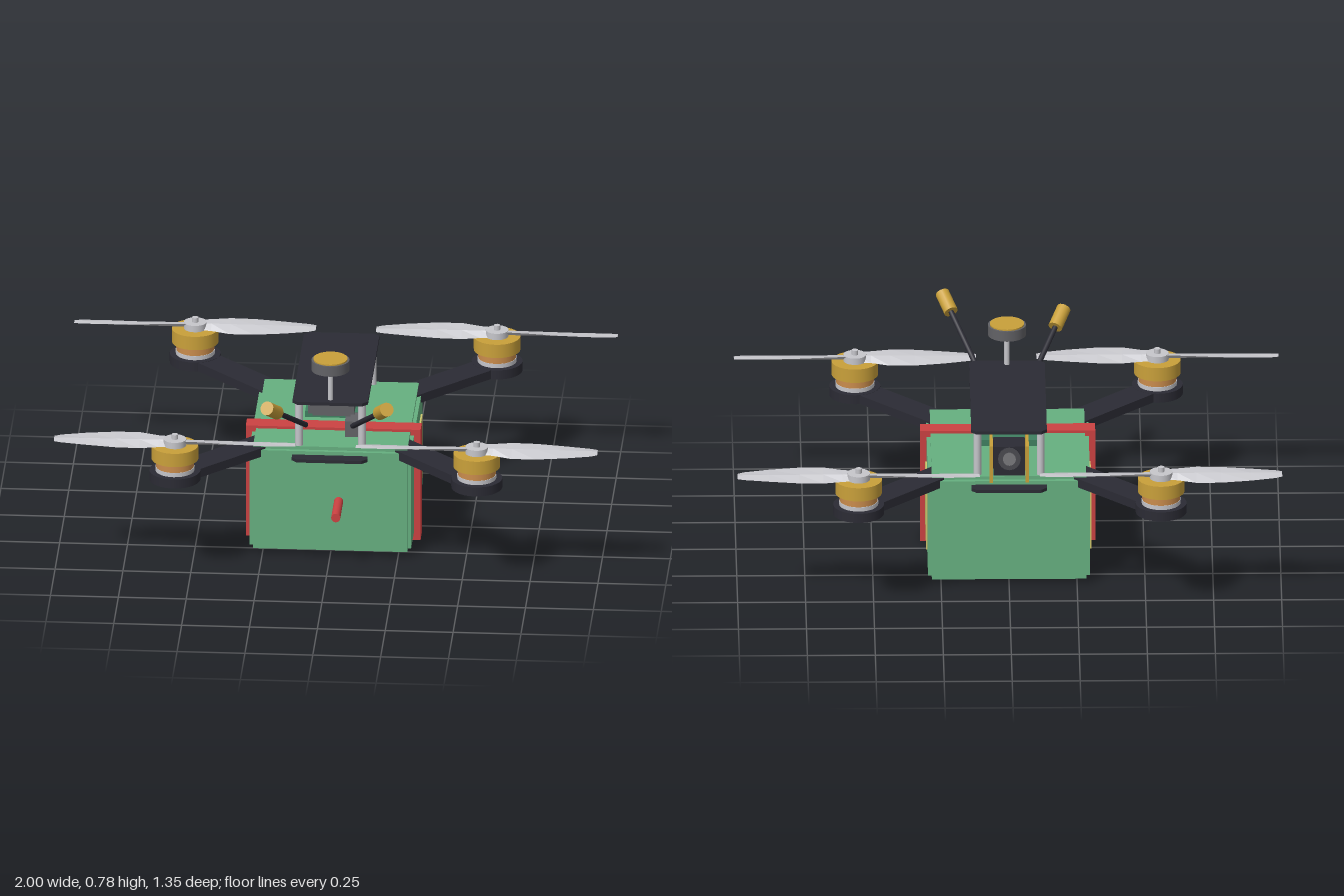
import * as THREE from 'three';

const mat = (name, color) => Object.assign(new THREE.MeshStandardMaterial({ color }), { name });
const green = mat('packGreen', 0x66b080);
const red = mat('strapRed', 0xcc4242);
const gold = mat('gold', 0xc9a03a);
const dark = mat('carbon', 0x2b2b34);
const silver = mat('silver', 0xc6c6cb);
const grey = mat('darkGrey', 0x626266);
const board = mat('boardGreen', 0x3f8060);
const cream = mat('labelYellow', 0xcec66c);
const copper = mat('copper', 0xca8c4c);

const CZ = -0.02; // middle of the frame along z

function add(parent, name, geometry, material, x = 0, y = 0, z = 0) {
  const mesh = new THREE.Mesh(geometry, material);
  mesh.name = name;
  mesh.position.set(x, y, z);
  parent.add(mesh);
  return mesh;
}

// Box given by its limits on each axis
function box(parent, name, material, x0, x1, y0, y1, z0, z1) {
  return add(parent, name, new THREE.BoxGeometry(x1 - x0, y1 - y0, z1 - z0), material,
    (x0 + x1) / 2, (y0 + y1) / 2, (z0 + z1) / 2);
}

// Upright cylinder from y0 to y1
function post(parent, name, material, r, x, y0, y1, z, sides = 24) {
  return add(parent, name, new THREE.CylinderGeometry(r, r, y1 - y0, sides), material, x, (y0 + y1) / 2, z);
}

// Cylinder between two points
function rod(parent, name, material, r, a, b) {
  const dir = b.clone().sub(a);
  const mesh = add(parent, name, new THREE.CylinderGeometry(r, r, dir.length(), 16), material);
  mesh.position.copy(a).add(b).multiplyScalar(0.5);
  mesh.quaternion.setFromUnitVectors(new THREE.Vector3(0, 1, 0), dir.normalize());
  return mesh;
}

// Flat plate with clipped corners
function plate(parent, name, hw, z0, z1, y0, y1) {
  const c = 0.02;
  const s = new THREE.Shape([
    [-hw + c, z0], [hw - c, z0], [hw, z0 + c], [hw, z1 - c],
    [hw - c, z1], [-hw + c, z1], [-hw, z1 - c], [-hw, z0 + c],
  ].map(([x, z]) => new THREE.Vector2(x, -z)));
  const g = new THREE.ExtrudeGeometry(s, { depth: y1 - y0, bevelEnabled: false });
  g.rotateX(-Math.PI / 2);
  add(parent, name, g, dark, 0, y0, 0);
}

// Twisted blade lofted along +x from diamond sections
function bladeGeometry(spin) {
  // radius, front edge, rear edge, twist
  const sections = [
    [0.0, 0.025, 0.025, 0.42], [0.06, 0.03, 0.03, 0.42], [0.13, 0.046, 0.04, 0.36],
    [0.22, 0.05, 0.042, 0.28], [0.33, 0.043, 0.035, 0.2], [0.42, 0.03, 0.026, 0.14], [0.445, 0.02, 0.02, 0.12],
  ];
  const pos = [], idx = [];
  sections.forEach(([r, f, b, t], k) => {
    const h = 0.009 - 0.0007 * k, a = t * spin;
    for (const [y, z] of [[h, 0], [0, f], [-h, 0], [0, -b]]) {
      pos.push(r, y * Math.cos(a) - z * Math.sin(a), y * Math.sin(a) + z * Math.cos(a));
    }
    if (k === 0) return;
    for (let i = 0; i < 4; i++) {
      const j = (i + 1) % 4, p = (k - 1) * 4, q = k * 4;
      idx.push(p + i, p + j, q + j, p + i, q + j, q + i);
    }
  });
  const e = (sections.length - 1) * 4;
  idx.push(e, e + 1, e + 2, e, e + 2, e + 3);
  const g = new THREE.BufferGeometry();
  g.setAttribute('position', new THREE.Float32BufferAttribute(pos, 3));
  g.setIndex(idx);
  const flat = g.toNonIndexed();
  flat.computeVertexNormals();
  return flat;
}

// Arm, motor and propeller for one corner
function rotor(parent, sx, sz) {
  const g = new THREE.Group();
  g.name = 'rotorArm';
  parent.add(g);
  const x = 0.556 * sx, z = CZ + 0.556 * sz;
  const arm = add(g, 'arm', new THREE.BoxGeometry(0.66, 0.034, 0.108), dark,
    x - 0.233 * sx, 0.408, z - 0.233 * sz);
  arm.rotation.y = -sx * sz * Math.PI / 4;
  post(g, 'motorPad', dark, 0.094, x, 0.39, 0.426, z, 28);
  post(g, 'motorBase', silver, 0.072, x, 0.426, 0.442, z);
  post(g, 'motorStator', copper, 0.07, x, 0.442, 0.472, z);
  post(g, 'motorBell', gold, 0.086, x, 0.472, 0.525, z, 32);
  post(g, 'propellerHub', silver, 0.042, x, 0.525, 0.55, z);
  post(g, 'motorShaft', silver, 0.012, x, 0.54, 0.568, z, 12);
  const geo = bladeGeometry(sx * sz);
  for (const turn of [0, Math.PI]) {
    add(g, 'propellerBlade', geo, silver, x, 0.538, z).rotation.y = turn;
  }
}

export function createModel() {
  const model = new THREE.Group();
  model.name = 'quadcopter';

  // Battery pack with stepped edges, strap, labels and lead
  const pack = new THREE.Group();
  pack.name = 'batteryPack';
  model.add(pack);
  box(pack, 'packSides', green, -0.298, 0.298, 0.035, 0.418, -0.335, 0.295);
  box(pack, 'packEnds', green, -0.284, 0.284, 0.035, 0.418, -0.35, 0.31);
  box(pack, 'packCore', green, -0.284, 0.284, 0.02, 0.431, -0.335, 0.295);
  box(pack, 'strap', red, -0.322, 0.322, 0.002, 0.441, 0.068, 0.135);
  for (const s of [-1, 1]) {
    add(pack, 'label', new THREE.BoxGeometry(0.008, 0.25, 0.235), cream, 0.3 * s, 0.223, -0.118);
  }
  rod(pack, 'powerLead', red, 0.017, new THREE.Vector3(0.032, 0.222, 0.3), new THREE.Vector3(0.032, 0.222, 0.47));

  // Frame plates and standoffs
  plate(model, 'bottomPlate', 0.139, -0.4, 0.357, 0.392, 0.404);
  plate(model, 'topPlate', 0.139, -0.35, 0.315, 0.604, 0.616);
  for (const x of [-0.116, 0.116]) {
    for (const z of [0.28, -0.315]) post(model, 'standoff', silver, 0.014, x, 0.4, 0.606, z, 12);
  }

  for (const sx of [-1, 1]) for (const sz of [-1, 1]) rotor(model, sx, sz);

  // Electronics stack
  box(model, 'lowerBoard', board, -0.105, 0.105, 0.47, 0.494, -0.144, 0.108);
  box(model, 'upperBoard', board, -0.095, 0.095, 0.534, 0.556, -0.13, 0.095);
  box(model, 'stackFoot', dark, -0.03, 0.03, 0.425, 0.452, -0.045, 0.008);
  box(model, 'receiver', grey, -0.085, 0.085, 0.542, 0.576, 0.025, 0.245);
  box(model, 'receiverBase', grey, -0.07, 0.07, 0.528, 0.545, 0.04, 0.23);
  box(model, 'receiverLid', grey, -0.065, 0.065, 0.576, 0.59, 0.04, 0.23);
  box(model, 'receiverCap', dark, -0.05, 0.05, 0.59, 0.598, 0.075, 0.205);
  box(model, 'capacitor', grey, 0.05, 0.1, 0.45, 0.511, 0.15, 0.24);

  // Camera at the back end
  const camera = new THREE.Group();
  camera.name = 'camera';
  model.add(camera);
  for (const x of [-0.066, 0.066]) {
    box(camera, 'cameraBracket', gold, x - 0.006, x + 0.006, 0.435, 0.58, -0.405, -0.275);
  }
  box(camera, 'cameraBody', dark, -0.058, 0.058, 0.455, 0.57, -0.385, -0.295);
  const tilt = new THREE.Vector3(0, 0.3, -1).normalize();
  const from = new THREE.Vector3(0, 0.518, -0.36);
  rod(camera, 'lensBarrel', dark, 0.042, from, from.clone().addScaledVector(tilt, 0.06));
  rod(camera, 'lensGlass', grey, 0.024, from, from.clone().addScaledVector(tilt, 0.075));

  // Navigation puck on a mast
  post(model, 'mast', silver, 0.01, 0, 0.61, 0.74, 0.282, 12);
  post(model, 'puck', grey, 0.07, 0, 0.735, 0.775, 0.282, 32);
  post(model, 'puckCap', gold, 0.063, 0, 0.774, 0.78, 0.282, 32);

  // Pair of antennas
  for (const [base, tip] of [
    [[-0.088, 0.53, 0.325], [-0.213, 0.705, 0.595]],
    [[0.085, 0.53, 0.325], [0.233, 0.74, 0.66]],
  ]) {
    const a = new THREE.Vector3(...base), b = new THREE.Vector3(...tip);
    const d = b.clone().sub(a).normalize();
    rod(model, 'antennaRod', dark, 0.01, a, b.clone().addScaledVector(d, -0.03));
    rod(model, 'antennaTip', gold, 0.026, b.clone().addScaledVector(d, -0.09), b);
  }
  return model;
}
